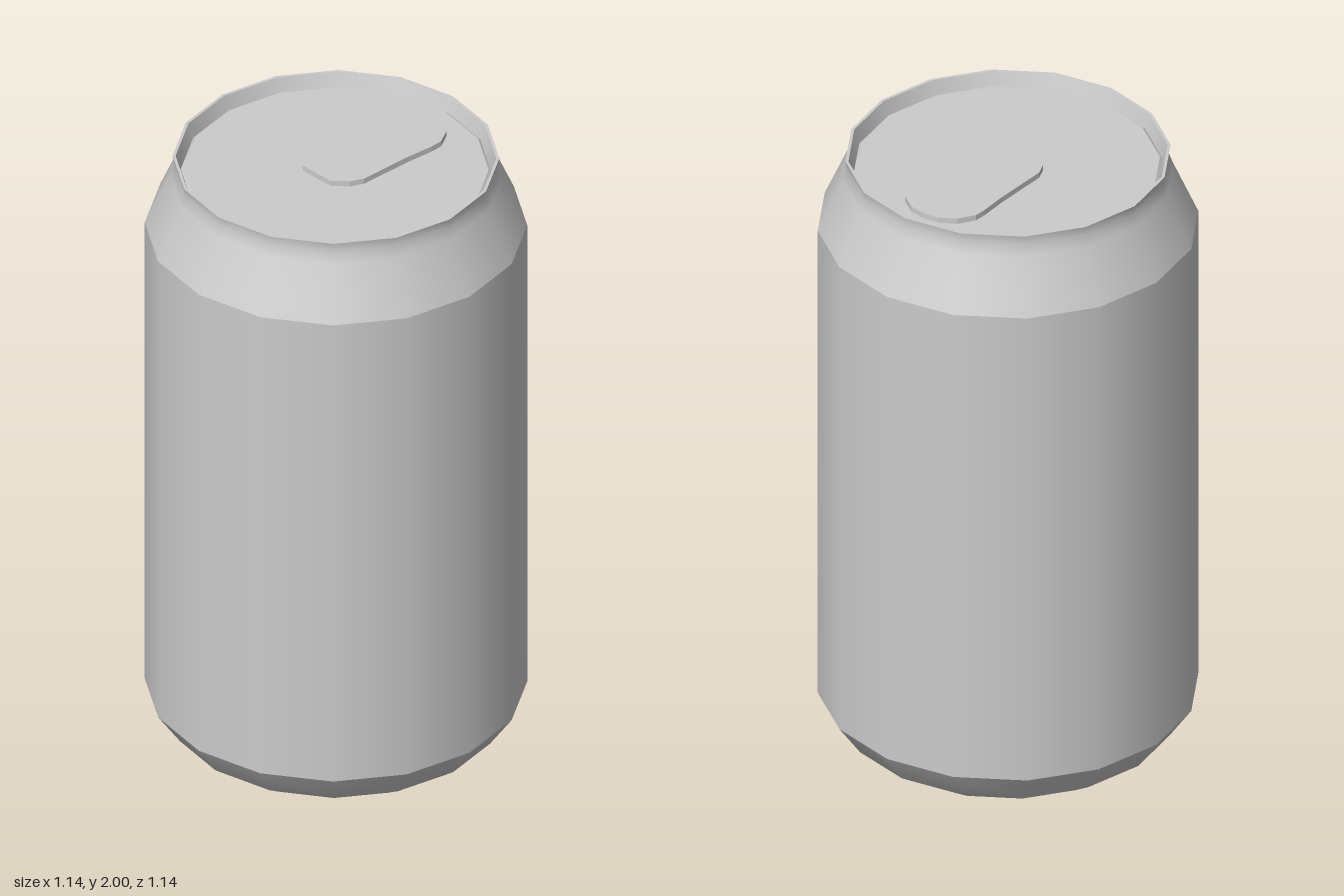
import * as THREE from 'three';

const material = new THREE.MeshStandardMaterial({ color: 0xcccccc });
const SIDES = 16;

// Turned part from [radius, height] pairs, listed upward along the outside
function turned(name, profile) {
  const points = profile.map(([r, y]) => new THREE.Vector2(r, y));
  const mesh = new THREE.Mesh(new THREE.LatheGeometry(points, SIDES), material);
  mesh.name = name;
  return mesh;
}

// Closed outline from its +x half, mirrored across the centre line
function mirrored(half) {
  const other = half.filter(([x]) => x > 0).map(([x, y]) => [-x, y]).reverse();
  return [...half, ...other].map(([x, y]) => new THREE.Vector2(x, y));
}

// Flat pull tab with a finger hole and a rivet-end hole
function pullTab() {
  const shape = new THREE.Shape(mirrored([
    [0, 0.4], [0.05, 0.393], [0.1, 0.362], [0.13, 0.31], [0.131, 0.27],
    [0.124, 0.18], [0.12, 0], [0.102, -0.04], [0.06, -0.08],
  ]));
  const holes = [
    [[0.06, 0.375], [0.092, 0.348], [0.108, 0.31], [0.108, 0.24], [0.09, 0.205]],
    [[0.045, 0.14], [0.08, 0.12], [0.093, 0.085], [0.092, 0], [0.082, -0.025], [0.055, -0.05]],
  ];
  for (const hole of holes) shape.holes.push(new THREE.Path(mirrored(hole)));
  const geometry = new THREE.ExtrudeGeometry(shape, { depth: 0.018, bevelEnabled: false });
  geometry.rotateX(-Math.PI / 2);
  const mesh = new THREE.Mesh(geometry, material);
  mesh.name = 'pullTab';
  mesh.position.y = 1.96;
  return mesh;
}

export function createModel() {
  const can = new THREE.Group();
  can.name = 'drinkCan';
  can.add(
    // Recessed underside and the ring it stands on
    turned('basePanel', [[0, 0.03], [0.36, 0.03]]),
    turned('baseRecessWall', [[0.36, 0.03], [0.378, 0]]),
    turned('standingRing', [[0.378, 0], [0.405, 0]]),
    // Outer shell
    turned('baseCurve', [[0.405, 0], [0.42, 0.008], [0.5, 0.06], [0.57, 0.16]]),
    turned('body', [[0.57, 0.16], [0.57, 1.765]]),
    turned('neck', [[0.57, 1.765], [0.528, 1.86], [0.495, 1.935], [0.482, 1.97], [0.487, 2]]),
    // Rim and lid
    turned('rimTop', [[0.487, 2], [0.478, 2]]),
    turned('rimInnerWall', [[0.478, 2], [0.463, 1.953]]),
    turned('lidChamfer', [[0.463, 1.953], [0.455, 1.96]]),
    turned('lid', [[0.455, 1.96], [0, 1.96]]),
    pullTab(),
  );
  return can;
}
